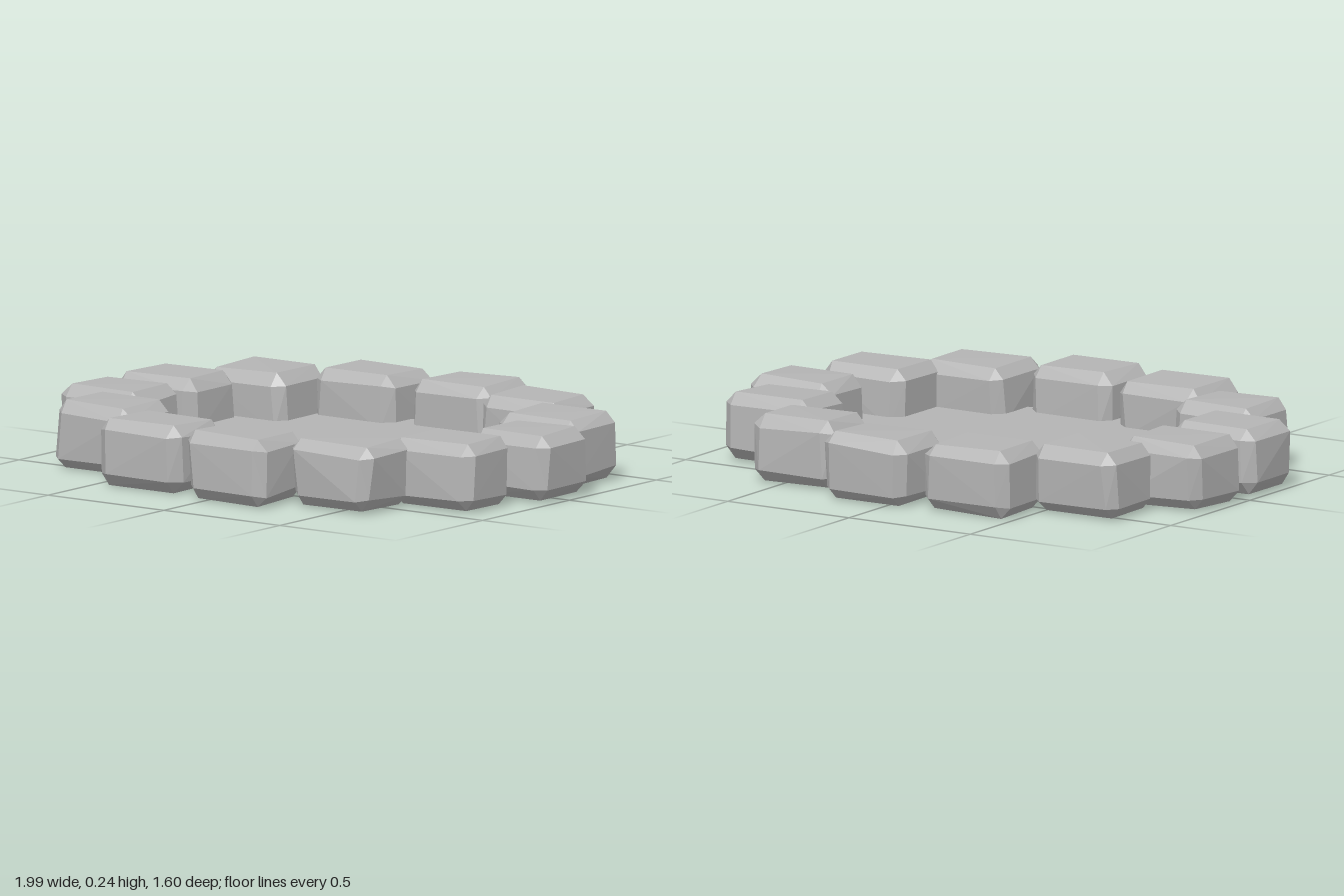
import * as THREE from 'three';
import { ConvexGeometry } from 'three/addons/geometries/ConvexGeometry.js';

const stoneGrey = new THREE.MeshStandardMaterial({ color: 0xb4b4b4, flatShading: true });
stoneGrey.name = 'stone grey';
const bedGrey = new THREE.MeshStandardMaterial({ color: 0xb4b4b4, side: THREE.DoubleSide });
bedGrey.name = 'bed grey';

// small seeded generator for the hewn irregularity
function seeded(seed) {
  return () => {
    seed = (seed * 16807) % 2147483647;
    return seed / 2147483647;
  };
}

// chamfered block: each corner is cut into three points, one per face
function stoneGeometry(half, rand) {
  const points = [];
  for (const sx of [-1, 1]) for (const sy of [-1, 1]) for (const sz of [-1, 1]) {
    const sign = [sx, sy, sz];
    const lean = [rand() * 0.016, rand() * 0.01, rand() * 0.016];
    for (let face = 0; face < 3; face++) {
      const p = half.map((h, axis) => {
        const cut = axis === face ? 0 : (axis === 1 ? 0.034 : 0.032) + rand() * 0.012;
        return sign[axis] * (h - lean[axis] - cut);
      });
      points.push(new THREE.Vector3(...p));
    }
  }
  return new ConvexGeometry(points);
}

export function createModel() {
  const group = new THREE.Group();
  group.name = 'stoneRing';

  // flat oval bed inside the ring
  const bed = new THREE.Mesh(new THREE.CircleGeometry(1, 48), bedGrey);
  bed.name = 'bed';
  bed.rotation.x = -Math.PI / 2;
  bed.scale.set(0.8, 0.62, 1);
  bed.position.y = 0.08;
  group.add(bed);

  // border stones: centre x, centre z
  const centres = [
    [0.825, -0.005], [0.725, 0.31], [0.465, 0.545], [0.09, 0.655], [-0.305, 0.615],
    [-0.64, 0.435], [-0.825, 0.155], [-0.815, -0.165], [-0.635, -0.435],
    [-0.31, -0.625], [0.085, -0.655], [0.455, -0.545], [0.72, -0.31],
  ];
  const rand = seeded(4127);
  centres.forEach(([x, z], i) => {
    const stone = new THREE.Mesh(stoneGeometry([0.176, 0.121, 0.148], rand), stoneGrey);
    stone.name = `borderStone${i + 1}`;
    stone.position.set(x, 0.123, z);
    group.add(stone);
  });
  return group;
}
